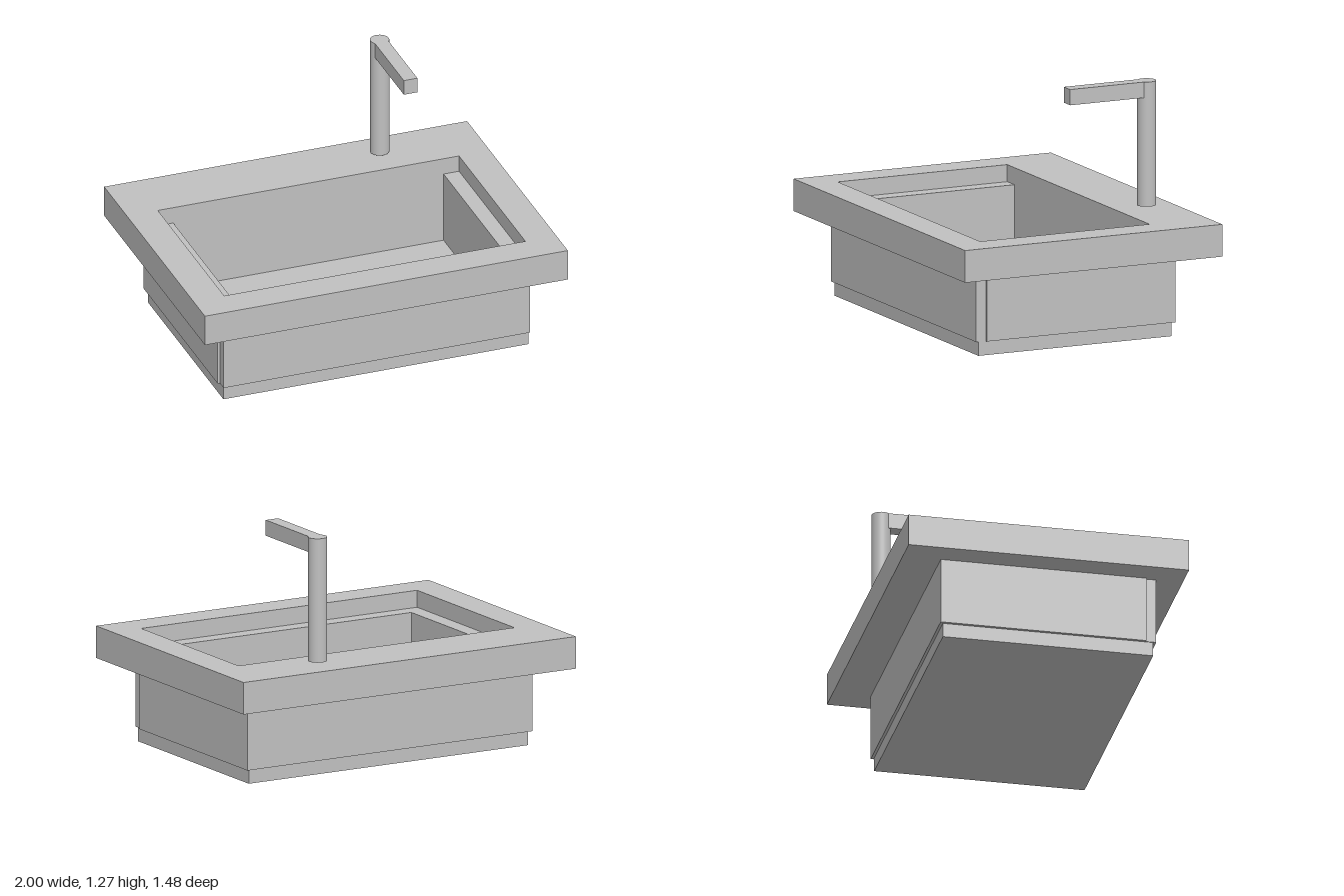
import * as THREE from 'three';

const grey = new THREE.MeshStandardMaterial({ color: 0xc0c0c0 });
grey.name = 'grey';

// Box given by its minimum and maximum corners
function box(name, [x0, y0, z0], [x1, y1, z1]) {
  const mesh = new THREE.Mesh(new THREE.BoxGeometry(x1 - x0, y1 - y0, z1 - z0), grey);
  mesh.position.set((x0 + x1) / 2, (y0 + y1) / 2, (z0 + z1) / 2);
  mesh.name = name;
  return mesh;
}

// Rectangle outline in plan; shape y is -z
function rectangle(path, x, zBack, zFront) {
  path.moveTo(-x, -zFront);
  path.lineTo(x, -zFront);
  path.lineTo(x, -zBack);
  path.lineTo(-x, -zBack);
  path.closePath();
  return path;
}

export function createModel() {
  const model = new THREE.Group();
  model.name = 'sink';

  // Countertop slab with the basin opening
  const slab = rectangle(new THREE.Shape(), 1, -0.74, 0.74);
  slab.holes.push(rectangle(new THREE.Path(), 0.83, -0.405, 0.57));
  const slabGeometry = new THREE.ExtrudeGeometry(slab, { depth: 0.17, bevelEnabled: false });
  slabGeometry.rotateX(-Math.PI / 2);
  const countertop = new THREE.Mesh(slabGeometry, grey);
  countertop.position.y = 0.43;
  countertop.name = 'countertop';
  model.add(countertop);

  // Basin: walls rise into the opening and form a ledge
  const basin = new THREE.Group();
  basin.name = 'basin';
  basin.add(
    box('basinFloor', [-0.84, 0, -0.525], [0.84, 0.12, 0.585]),
    box('frontWall', [-0.845, 0.075, 0.485], [0.845, 0.51, 0.6]),
    box('backWall', [-0.745, 0.075, -0.54], [0.745, 0.51, -0.406]),
    box('leftWall', [0.745, 0.075, -0.54], [0.857, 0.51, 0.545]),
    box('rightWall', [-0.857, 0.075, -0.54], [-0.745, 0.51, 0.545])
  );
  model.add(basin);

  // Faucet: round post and square spout
  const faucet = new THREE.Group();
  faucet.name = 'faucet';
  const post = new THREE.Mesh(new THREE.CylinderGeometry(0.05, 0.05, 0.657, 32), grey);
  post.position.set(0.455, 0.9445, -0.572);
  post.name = 'faucetPost';
  faucet.add(post, box('faucetSpout', [0.417, 1.19, -0.54], [0.492, 1.273, -0.115]));
  model.add(faucet);

  return model;
}
